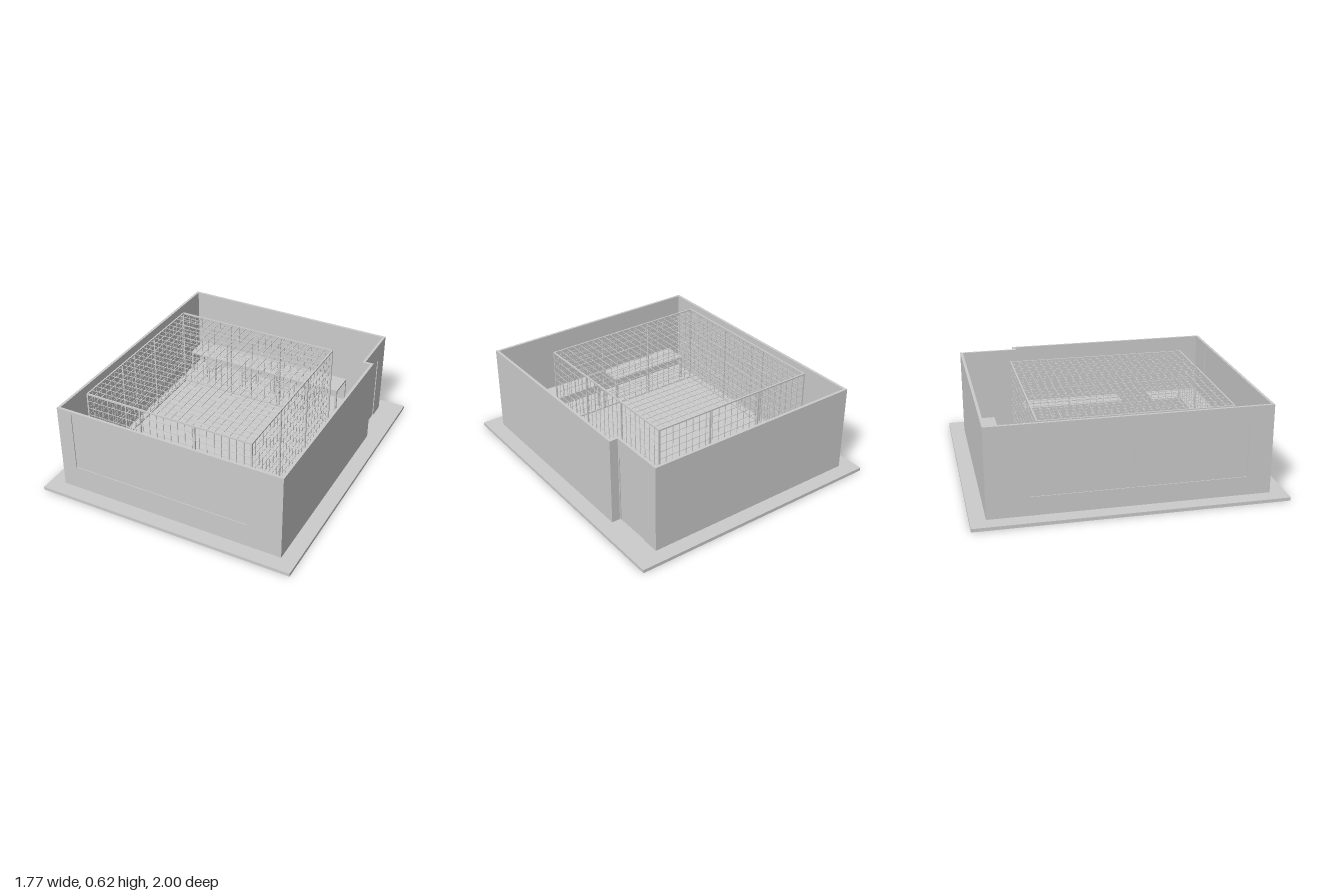
import * as THREE from 'three';
import { mergeGeometries } from 'three/addons/utils/BufferGeometryUtils.js';

const FLOOR = 0.022, TOP = 0.615, T = 0.018;

export function createModel() {
  const model = new THREE.Group();
  const material = new THREE.MeshStandardMaterial({ color: 0xcccccc, flatShading: true });

  // Box given by its minimum and maximum corners
  const box = (x0, y0, z0, x1, y1, z1) =>
    new THREE.BoxGeometry(x1 - x0, y1 - y0, z1 - z0)
      .translate((x0 + x1) / 2, (y0 + y1) / 2, (z0 + z1) / 2);

  const add = (name, geometries, parent = model) => {
    const mesh = new THREE.Mesh(mergeGeometries(geometries), material);
    mesh.name = name;
    parent.add(mesh);
    return mesh;
  };

  // Upright wall from a to b along x or z; its low face lies at "at".
  // Each opening [a, b, y0, y1] is cut out and filled with a thin recessed pane.
  const wall = (name, axis, a, b, at, openings = [], paneName = 'windowPane') => {
    const rect = (P, u0, u1, y0, y1) => {
      const p = new P();
      p.moveTo(u0, y0); p.lineTo(u1, y0); p.lineTo(u1, y1); p.lineTo(u0, y1);
      p.closePath();
      return p;
    };
    const shape = rect(THREE.Shape, a, b, FLOOR, TOP);
    const panes = [];
    for (const [u0, u1, y0, y1] of openings) {
      shape.holes.push(rect(THREE.Path, u0, u1, y0, y1));
      panes.push(box(u0, y0, T * 0.3, u1, y1, T * 0.7));
    }
    const place = (g) => axis === 'x'
      ? g.translate(0, 0, at)
      : g.rotateY(-Math.PI / 2).translate(at + T, 0, 0);
    add(name, [place(new THREE.ExtrudeGeometry(shape, { depth: T, bevelEnabled: false }))]);
    if (panes.length) add(paneName, panes.map(place));
  };

  // Ground slab
  add('baseSlab', [box(-0.885, 0, -1, 0.885, FLOOR, 1)]);

  // Outer walls, with a stepped corner that holds the door
  wall('frontWall', 'x', -0.785, 0.782, 0.898 - T, [[-0.68, 0.55, 0.185, 0.595]]);
  wall('backWall', 'x', -0.785, 0.725, -0.9);
  wall('rightWall', 'z', -0.9 + T, 0.898 - T, -0.785,
    [[-0.63, 0.013, 0.145, 0.555], [0.033, 0.74, 0.145, 0.555]]);
  wall('leftWall', 'z', -0.518 + T, 0.898 - T, 0.782 - T);
  wall('stepWall', 'x', 0.725 - T, 0.782, -0.518);
  wall('entryWall', 'z', -0.9 + T, -0.518, 0.725 - T, [[-0.78, -0.528, FLOOR + 0.001, 0.482]], 'door');

  // Wire cage: posts, rails and mesh on four sides and the roof
  const cage = new THREE.Group();
  cage.name = 'wireCage';
  model.add(cage);
  const X0 = -0.718, X1 = 0.46, Z0 = -0.57, Z1 = 0.66, H = 0.6, NX = 23, NZ = 24, NY = 11;
  const bar = (x0, y0, z0, x1, y1, z1, r) =>
    box(Math.min(x0, x1) - r, y0 - r, z0 - r, x1 + r, y1 + r, z1 + r);
  const frame = [], wires = [], R = 0.005, W = 0.0016;
  for (const y of [FLOOR + R, H]) {
    for (const z of [Z0, Z1]) frame.push(bar(X0, y, z, X1, y, z, R));
    for (const x of [X0, X1]) frame.push(bar(x, y, Z0, x, y, Z1, R));
  }
  for (let i = 0; i <= 3; i++) {
    const x = X0 + (X1 - X0) * i / 3, z = Z0 + (Z1 - Z0) * i / 3;
    for (const s of [Z0, Z1]) frame.push(bar(x, FLOOR + R, s, x, H, s, R));
    if (i % 3) for (const s of [X0, X1]) frame.push(bar(s, FLOOR + R, z, s, H, z, R));
  }
  for (let i = 1; i < NX; i++) {
    const x = X0 + (X1 - X0) * i / NX;
    wires.push(bar(x, H, Z0, x, H, Z1, W));
    for (const z of [Z0, Z1]) wires.push(bar(x, FLOOR, z, x, H, z, W));
  }
  for (let i = 1; i < NZ; i++) {
    const z = Z0 + (Z1 - Z0) * i / NZ;
    wires.push(bar(X0, H, z, X1, H, z, W));
    for (const x of [X0, X1]) wires.push(bar(x, FLOOR, z, x, H, z, W));
  }
  for (let i = 1; i < NY; i++) {
    const y = FLOOR + (H - FLOOR) * i / NY;
    for (const z of [Z0, Z1]) wires.push(bar(X0, y, z, X1, y, z, W));
    for (const x of [X0, X1]) wires.push(bar(x, y, Z0, x, y, Z1, W));
  }
  add('cageFrame', frame, cage);
  add('cageMesh', wires, cage);

  // Work tables along the walls: a top on four square legs
  const table = (name, x0, z0, x1, z1) => {
    const h = 0.2, leg = 0.014;
    const parts = [box(x0, h - 0.014, z0, x1, h, z1)];
    for (const x of [x0, x1 - leg])
      for (const z of [z0, z1 - leg])
        parts.push(box(x, FLOOR, z, x + leg, h - 0.014, z + leg));
    add(name, parts);
  };
  table('backTableRight', -0.735, -0.88, -0.031, -0.7);
  table('backTableLeft', -0.027, -0.88, 0.465, -0.7);
  table('sideTable', 0.595, -0.47, 0.762, 0.265);
  table('frontTable', -0.672, 0.7, -0.062, 0.876);
  table('cornerTable', 0.08, 0.705, 0.762, 0.876);
  table('cornerTableReturn', 0.582, 0.487, 0.762, 0.705);

  // Chairs tucked under the back tables
  for (const x of [-0.555, -0.255, 0.062, 0.262]) {
    const chair = new THREE.Group();
    chair.name = 'chair';
    chair.position.set(x, 0, -0.685);
    model.add(chair);
    add('chairSeat', [box(-0.042, 0.108, -0.085, 0.042, 0.118, 0.008)], chair);
    const legs = [], back = [];
    for (const s of [-0.042, 0.034]) {
      legs.push(box(s, FLOOR, -0.085, s + 0.008, 0.108, -0.077));
      legs.push(box(s, FLOOR, 0, s + 0.008, 0.205, 0.008));
    }
    for (let i = 0; i < 4; i++)
      back.push(box(-0.034, 0.134 + i * 0.018, 0.001, 0.034, 0.146 + i * 0.018, 0.007));
    add('chairLegs', legs, chair);
    add('chairBack', back, chair);
  }

  return model;
}
